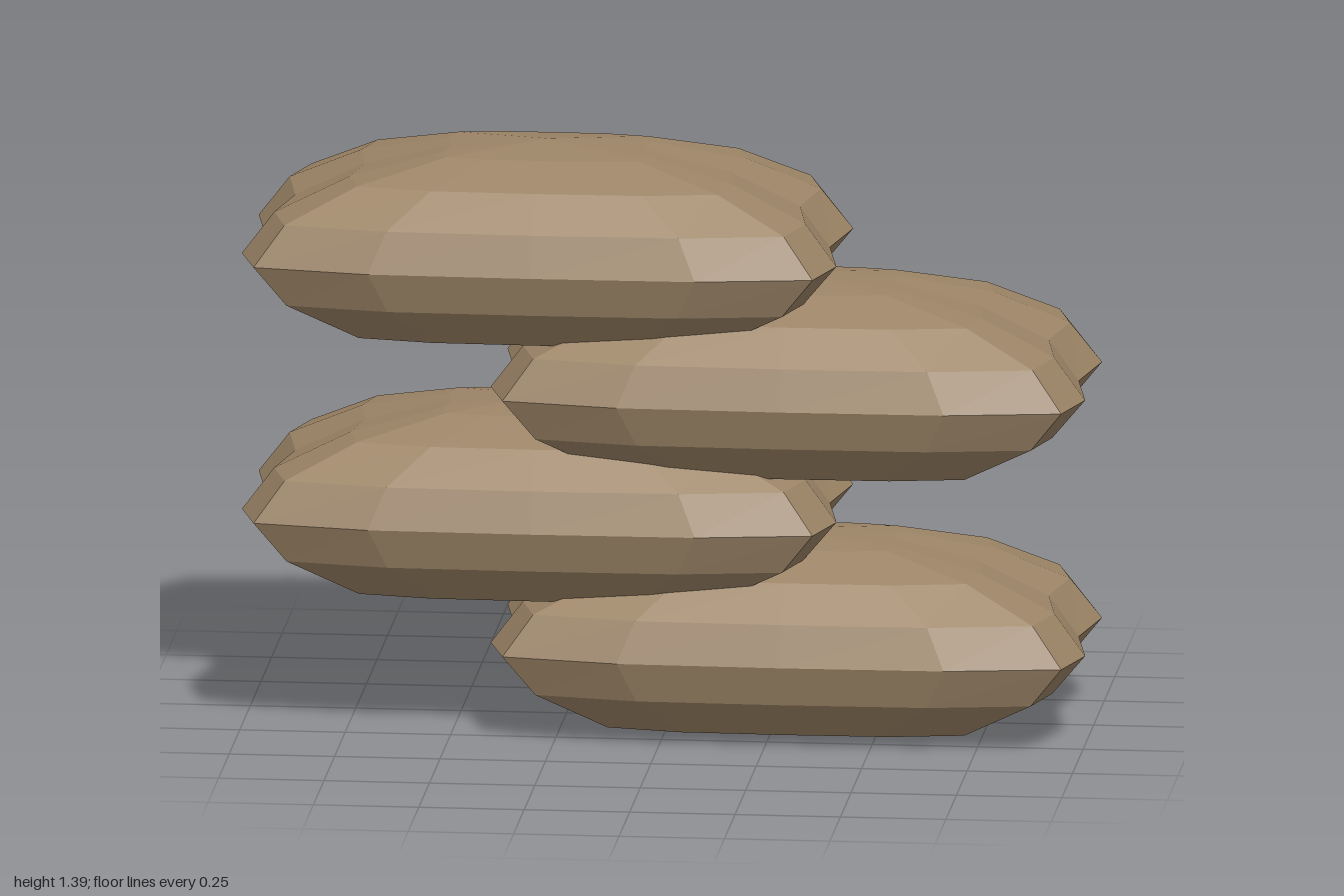
import * as THREE from 'three';

// One quarter of the pillow outline (unit x, z): pinched end, ear, corner, flank
const QUARTER = [[0.95, 0], [1, 0.5], [0.94, 0.87], [0.55, 0.985]];

// Horizontal rings from underside to crown: [height, half length, half depth]
const RINGS = [
  [0.028, 0.45, 0.28],
  [0.12, 0.625, 0.365],
  [0.217, 0.705, 0.397],
  [0.315, 0.63, 0.368],
  [0.395, 0.455, 0.278],
  [0.445, 0.24, 0.15],
];
const BOTTOM = 0.003;
const TOP = 0.465;

// Mirror the quarter into a closed outline running from +x towards +z
function fullOutline() {
  const mirroredX = QUARTER.slice(1).reverse().map(([x, z]) => [-x, z]);
  const half = [...QUARTER, [0, 1], ...mirroredX];
  return [...half, ...half.map(([x, z]) => [-x, -z])];
}

// Stuffed bag: stacked rings closed by a point below and above
function bagGeometry() {
  const outline = fullOutline();
  const n = outline.length;
  const pos = [];
  const index = [];
  for (const [y, hx, hz] of RINGS) {
    for (const [x, z] of outline) pos.push(x * hx, y, z * hz);
  }
  const bottom = pos.length / 3;
  const top = bottom + 1;
  pos.push(0, BOTTOM, 0, 0, TOP, 0);

  const last = (RINGS.length - 1) * n;
  for (let j = 0; j < n; j++) {
    const k = (j + 1) % n;
    for (let r = 0; r < last; r += n) {
      index.push(r + j, r + n + j, r + k, r + k, r + n + j, r + n + k);
    }
    index.push(bottom, j, k);
    index.push(last + j, top, last + k);
  }

  const geo = new THREE.BufferGeometry();
  geo.setAttribute('position', new THREE.Float32BufferAttribute(pos, 3));
  geo.setIndex(index);
  const flat = geo.toNonIndexed();
  flat.computeVertexNormals();
  return flat;
}

export function createModel() {
  const group = new THREE.Group();
  group.name = 'sandbagStack';
  const material = new THREE.MeshStandardMaterial({ color: 0x9c8466, flatShading: true });
  const geometry = bagGeometry();

  // Four bags, staggered right and left as they rise
  for (let i = 0; i < 4; i++) {
    const bag = new THREE.Mesh(geometry, material);
    bag.name = `sandbag${i + 1}`;
    bag.position.set(i % 2 ? -0.295 : 0.295, i * 0.31, 0);
    group.add(bag);
  }
  return group;
}
